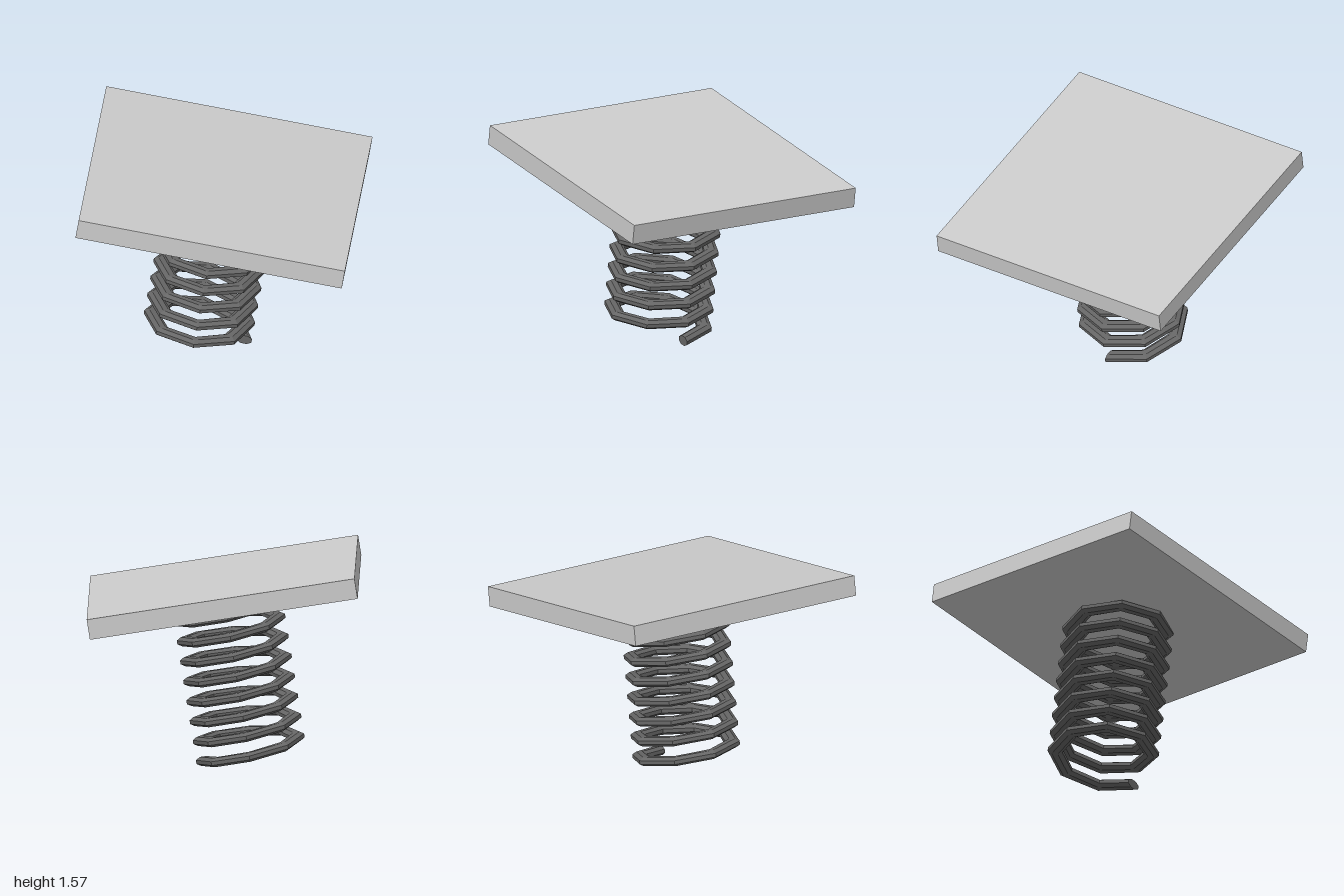
import * as THREE from 'three';

const TILT = THREE.MathUtils.degToRad(-8.95);

// Octagonal wire section swept in straight segments around the y axis
function coilGeometry({ turns, steps, radius, pitch, halfWidth, halfHeight }) {
  const sides = 8;
  const rings = turns * steps;
  const k = 1 / Math.cos(Math.PI / sides); // flats, not corners, lie on the half sizes
  const positions = [];
  const index = [];
  for (let i = 0; i <= rings; i++) {
    const a = (i / steps) * Math.PI * 2;
    for (let j = 0; j < sides; j++) {
      const b = ((j + 0.5) / sides) * Math.PI * 2;
      const r = radius + Math.cos(b) * halfWidth * k;
      const y = (i / steps) * pitch + Math.sin(b) * halfHeight * k;
      positions.push(r * Math.cos(a), y, -r * Math.sin(a));
    }
  }
  for (let i = 0; i < rings; i++) {
    for (let j = 0; j < sides; j++) {
      const p = i * sides + j;
      const q = i * sides + ((j + 1) % sides);
      index.push(p, p + sides, q, q, p + sides, q + sides);
    }
  }
  // Flat cut ends
  const last = rings * sides;
  for (let j = 1; j < sides - 1; j++) {
    index.push(0, j, j + 1, last, last + j + 1, last + j);
  }
  const geometry = new THREE.BufferGeometry();
  geometry.setAttribute('position', new THREE.Float32BufferAttribute(positions, 3));
  geometry.setIndex(index);
  geometry.computeVertexNormals();
  return geometry;
}

export function createModel() {
  const model = new THREE.Group();
  model.name = 'springPlatform';

  // Tilted square plate
  const plate = new THREE.Mesh(
    new THREE.BoxGeometry(2, 0.152, 1.94),
    new THREE.MeshStandardMaterial({ color: 0xcccccc, flatShading: true })
  );
  plate.name = 'plate';
  plate.position.set(0, 1.34, 0);
  plate.rotation.z = TILT;
  model.add(plate);

  // Coil spring leaning at the same angle, its top end sunk into the plate
  const spring = new THREE.Mesh(
    coilGeometry({ turns: 8, steps: 8, radius: 0.355, pitch: 0.151, halfWidth: 0.055, halfHeight: 0.034 }),
    new THREE.MeshStandardMaterial({ color: 0x666666, flatShading: true })
  );
  spring.name = 'spring';
  spring.position.set(-0.2, 0.095, 0);
  spring.rotation.z = TILT;
  model.add(spring);

  return model;
}
